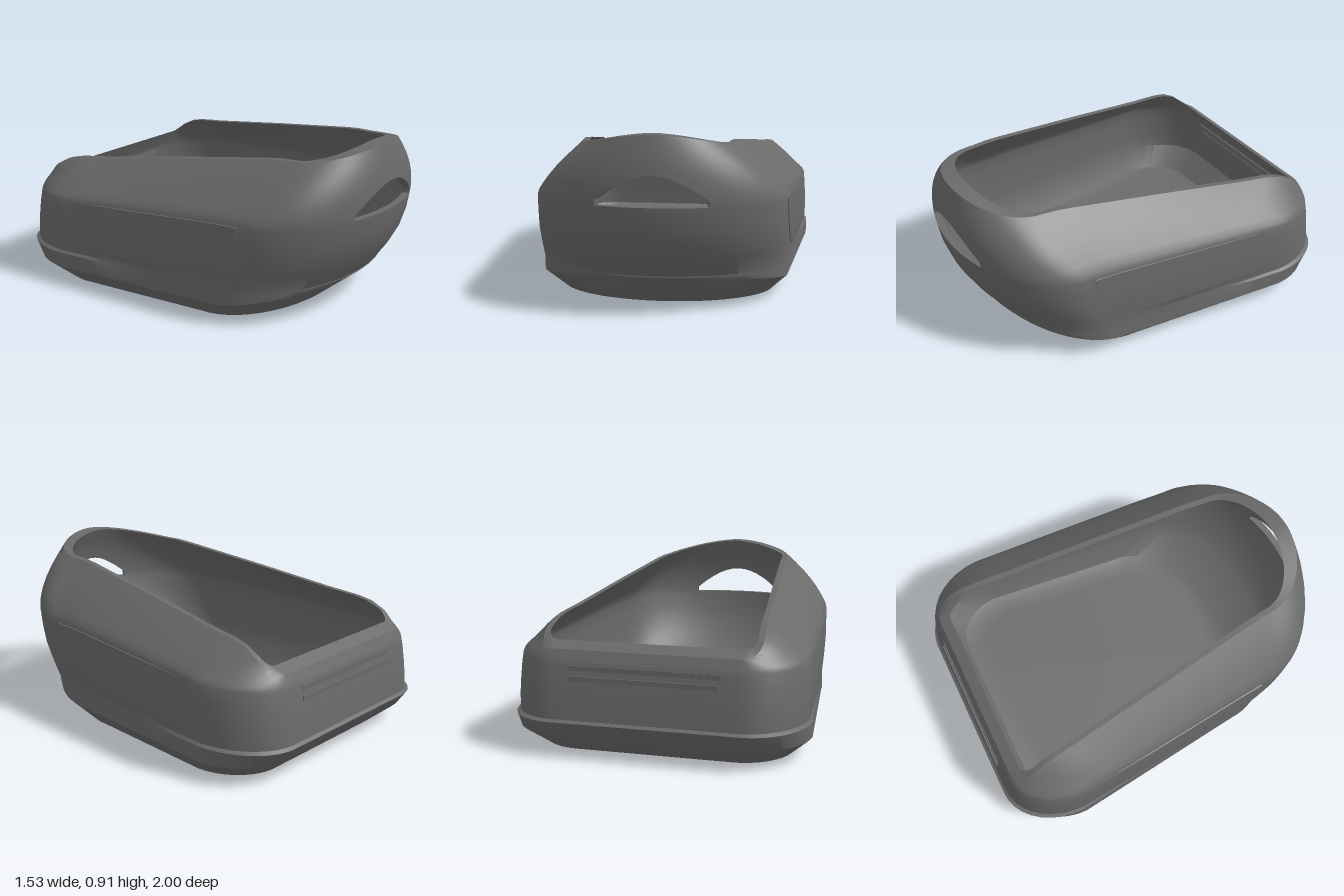
import * as THREE from 'three';
import { toCreasedNormals } from 'three/addons/utils/BufferGeometryUtils.js';

const { lerp, clamp, smoothstep } = THREE.MathUtils;
const BACK = 5, CORNER = 9, SIDE = 19, FRONT = 21;   // segments along half an outline
const HALF = BACK + CORNER + SIDE + FRONT, N = HALF * 2;
const HOLE = 6;                                       // half width of the handle hole, in columns
const WALL = 0.035;
const material = new THREE.MeshStandardMaterial({ color: 0x6a6a6a, side: THREE.DoubleSide });

// Plan outline: back/front z, half widths at back/front, start of the front curve, back corner radii
const section = (zb, zf, wb, wf, zs, rx, rz) => ({ zb, zf, wb, wf, zs, rx, rz });
const inset = (s, d) => section(s.zb + d, s.zf - d, s.wb - d, s.wf - d, s.zs - d * 0.5, s.rx - d * 0.5, s.rz - d * 0.5);

function outlinePoint(s, col) {
  const sign = col <= HALF ? 1 : -1;
  let j = col <= HALF ? col : N - col, x, z;
  if (j <= BACK) {
    x = (s.wb - s.rx) * j / BACK; z = s.zb;
  } else if ((j -= BACK) <= CORNER) {
    const a = j / CORNER * Math.PI / 2;
    x = s.wb - s.rx + s.rx * Math.sin(a); z = s.zb + s.rz - s.rz * Math.cos(a);
  } else if ((j -= CORNER) <= SIDE) {
    x = lerp(s.wb, s.wf, j / SIDE); z = lerp(s.zb + s.rz, s.zs, j / SIDE);
  } else {
    const a = (j - SIDE) / FRONT * Math.PI / 2;
    x = s.wf * Math.cos(a); z = s.zs + (s.zf - s.zs) * Math.sin(a);
  }
  return [x * sign, z];
}

const ring = (s, yOf) => Array.from({ length: N }, (_, j) => {
  const [x, z] = outlinePoint(s, j);
  return new THREE.Vector3(x, yOf(z, x), z);
});

// Height of the rim along z, arched across the front, and of the shoulder
const rimTable = [[-0.94, 0.53], [-0.9, 0.545], [-0.86, 0.575], [-0.8, 0.625], [-0.75, 0.652], [-0.65, 0.675],
  [-0.5, 0.692], [0, 0.765], [0.55, 0.84], [1, 0.85]];
const rimY = s => (z, x) => {
  const i = Math.max(1, rimTable.findIndex(p => p[0] >= z)), [a, b] = [rimTable[i - 1], rimTable[i]];
  const arch = z > s.zs ? 0.064 * (1 - (Math.abs(x) / s.wf) ** 1.6) : 0;
  return lerp(a[1], b[1], (z - a[0]) / (b[0] - a[0])) + arch;
};
const shoulderY = z => Math.min(0.565, 0.54 + 0.065 * z);

// Lower sections
const base = section(-0.82, 0.6, 0.66, 0.572, 0.24, 0.25, 0.28);
const floor = section(-0.84, 0.58, 0.66, 0.57, 0.2, 0.22, 0.26);
const bandLow = section(-0.94, 0.82, 0.765, 0.648, 0.37, 0.28, 0.32);
const bandTop = section(-1, 0.825, 0.767, 0.645, 0.4, 0.28, 0.36);
const walls = [
  section(-0.985, 0.83, 0.754, 0.642, 0.4, 0.28, 0.36),
  section(-0.98, 0.898, 0.756, 0.644, 0.45, 0.28, 0.36),
  section(-0.972, 0.95, 0.754, 0.644, 0.5, 0.28, 0.36),
  section(-0.963, 0.982, 0.75, 0.64, 0.53, 0.28, 0.36),
  section(-0.95, 0.998, 0.742, 0.637, 0.55, 0.28, 0.35),
];
const rimOuter = section(-0.925, 0.965, 0.56, 0.378, 0.65, 0.09, 0.11);
const rimInner = section(-0.865, 0.88, 0.53, 0.347, 0.65, 0.05, 0.06);

const wallRow = (i, d) => ring(inset(walls[i], d), z => lerp(0.195, shoulderY(z), i / 4));

// Rows from shoulder to rim; the second and third bound the handle hole
function upperRows(d, rim) {
  const below = wallRow(3, d), low = wallRow(4, d), high = ring(rim, rimY(rim));
  const sideness = j => smoothstep(Math.abs(j - HALF), HOLE, FRONT);
  const row = sOf => low.map((p, j) => {
    const s = sOf(j), q = p.clone().lerp(high[j], s), bulge = Math.sin(Math.PI * s);
    const front = 1 - smoothstep(Math.abs(j - HALF), FRONT * 0.6, FRONT * 1.1);
    const eased = lerp(s, s ** 1.6, front);
    q.x = lerp(p.x, high[j].x, eased) + Math.sign(p.x) * 0.01 * (1 - front) * bulge;
    q.z = lerp(p.z, high[j].z, eased) + 0.014 * front * bulge;
    return q;
  });
  const shoulder = low.map((p, j) => p.clone().lerp(below[j], 0.15 * sideness(j)));
  const holeBottom = j => lerp(0.02, 0.06, sideness(j));
  const holeTop = j => {
    const k = Math.min(1, Math.abs(j - HALF) / HOLE);
    return lerp(0.11, 0.2, sideness(j)) + 0.35 * (1 - k ** 2.1);
  };
  return [shoulder, row(holeBottom), row(holeTop),
    ...[0.2, 0.4, 0.6, 0.8, 1].map(f => row(j => lerp(holeTop(j), 1, f)))];
}

function shellGeometry() {
  const bevelY = z => 0.1 + 0.08 * clamp((z - 0.38) / 0.44, 0, 1);
  // The ledge above the base band fades out towards the front
  const wallFoot = wallRow(0, 0);
  const ledge = ring(bandTop, z => 0.182 + 0.006 * smoothstep(z, 0.4, 0.82));
  ledge.forEach((p, j) => {
    const t = smoothstep(p.z, -0.5, 0.1);
    p.x = lerp(p.x, wallFoot[j].x, t);
    p.z = lerp(p.z, wallFoot[j].z, t);
  });
  const outer = [ring(base, () => 0), ring(bandLow, bevelY), ledge, ...[0, 1, 2, 3].map(i => wallRow(i, 0))];
  const outerHole = outer.length + 1;
  outer.push(...upperRows(0, rimOuter));
  const inner = [[0.12, 0.06], [0.06, 0.06], [0, 0.075]].map(([d, y]) => ring(inset(floor, d), () => y));
  inner.push(...[0, 1, 2, 3].map(i => wallRow(i, WALL)));
  const innerHole = inner.length + 1;
  inner.push(...upperRows(WALL, rimInner));
  const rows = [...outer, ...inner.reverse()];
  const innerLow = rows.length - 1 - innerHole, innerHigh = innerLow - 1;

  const index = [], at = (i, j) => i * N + j % N;
  for (let i = 0; i < rows.length - 1; i++) {
    for (let j = 0; j < N; j++) {
      const open = (i === outerHole || i === innerHigh) && j >= HALF - HOLE && j < HALF + HOLE;
      if (open) continue;
      const a = at(i, j), b = at(i, j + 1), c = at(i + 1, j + 1), d = at(i + 1, j);
      index.push(a, d, c, a, c, b);
    }
  }
  // Edge of the handle hole
  const loop = (low, high) => {
    const cols = Array.from({ length: HOLE * 2 + 1 }, (_, k) => HALF - HOLE + k);
    return [...cols.map(j => at(low, j)), ...cols.reverse().map(j => at(high, j))];
  };
  const o = loop(outerHole, outerHole + 1), n = loop(innerLow, innerHigh);
  o.forEach((_, k) => {
    const m = (k + 1) % o.length;
    index.push(o[k], n[m], o[m], o[k], n[k], n[m]);
  });
  // Underside and inner floor
  const points = rows.flat(), under = points.length, last = rows.length - 1;
  points.push(new THREE.Vector3(0, 0, -0.1), new THREE.Vector3(0, 0.06, -0.1));
  for (let j = 0; j < N; j++) {
    index.push(under, at(0, j), at(0, j + 1), under + 1, at(last, j + 1), at(last, j));
  }
  const g = new THREE.BufferGeometry().setFromPoints(points);
  g.setIndex(index);
  return toCreasedNormals(g, 0.55);
}

// Shallow side panel with a swept front edge, following the wall
function panelGeometry(sign) {
  const R = 16, C = 20, points = [], index = [];
  const wallX = (s, z) => lerp(s.wb, s.wf, (z - s.zb - s.rz) / (s.zs - s.zb - s.rz));
  for (let i = 0; i <= R; i++) {
    const h = 1 - (1 - i / R) ** 1.5, v = h * 0.95, k = Math.min(3, Math.floor(v * 4));
    const zEnd = 0.51 - 0.55 * (1 - Math.sqrt(1 - (1 - h) ** 2));
    for (let j = 0; j <= C; j++) {
      const z = lerp(zEnd, -0.6, Math.max(0, j - 1) / (C - 1));
      const raise = j === 0 || i === 0 || i === R ? -0.008 : 0.006 * Math.min(1, (z + 0.6) / 0.4) - 0.001;
      const x = lerp(wallX(walls[k], z), wallX(walls[k + 1], z), v * 4 - k) + raise;
      points.push(new THREE.Vector3(sign * x, lerp(0.195, shoulderY(z), v), z));
      if (i < R && j < C) {
        const a = i * (C + 1) + j, b = a + 1, c = b + C + 1, d = a + C + 1;
        index.push(...(sign > 0 ? [a, b, c, a, c, d] : [a, c, b, a, d, c]));
      }
    }
  }
  const g = new THREE.BufferGeometry().setFromPoints(points);
  g.setIndex(index);
  return toCreasedNormals(g, 0.5);
}

export function createModel() {
  const model = new THREE.Group();
  const add = (name, geometry) => {
    const mesh = new THREE.Mesh(geometry, material);
    mesh.name = name;
    model.add(mesh);
    return mesh;
  };
  add('shell', shellGeometry());
  add('leftSidePanel', panelGeometry(1));
  add('rightSidePanel', panelGeometry(-1));
  // Pairs of slim ribs on both faces of the back wall
  for (const [name, z] of [['outerRib', -0.953], ['innerRib', -0.928]]) {
    for (const y of [0.4, 0.45]) {
      add(name, new THREE.BoxGeometry(0.76, 0.025, 0.022)).position.set(0, y, z - (0.425 - y) * 0.25);
    }
  }
  return model;
}
